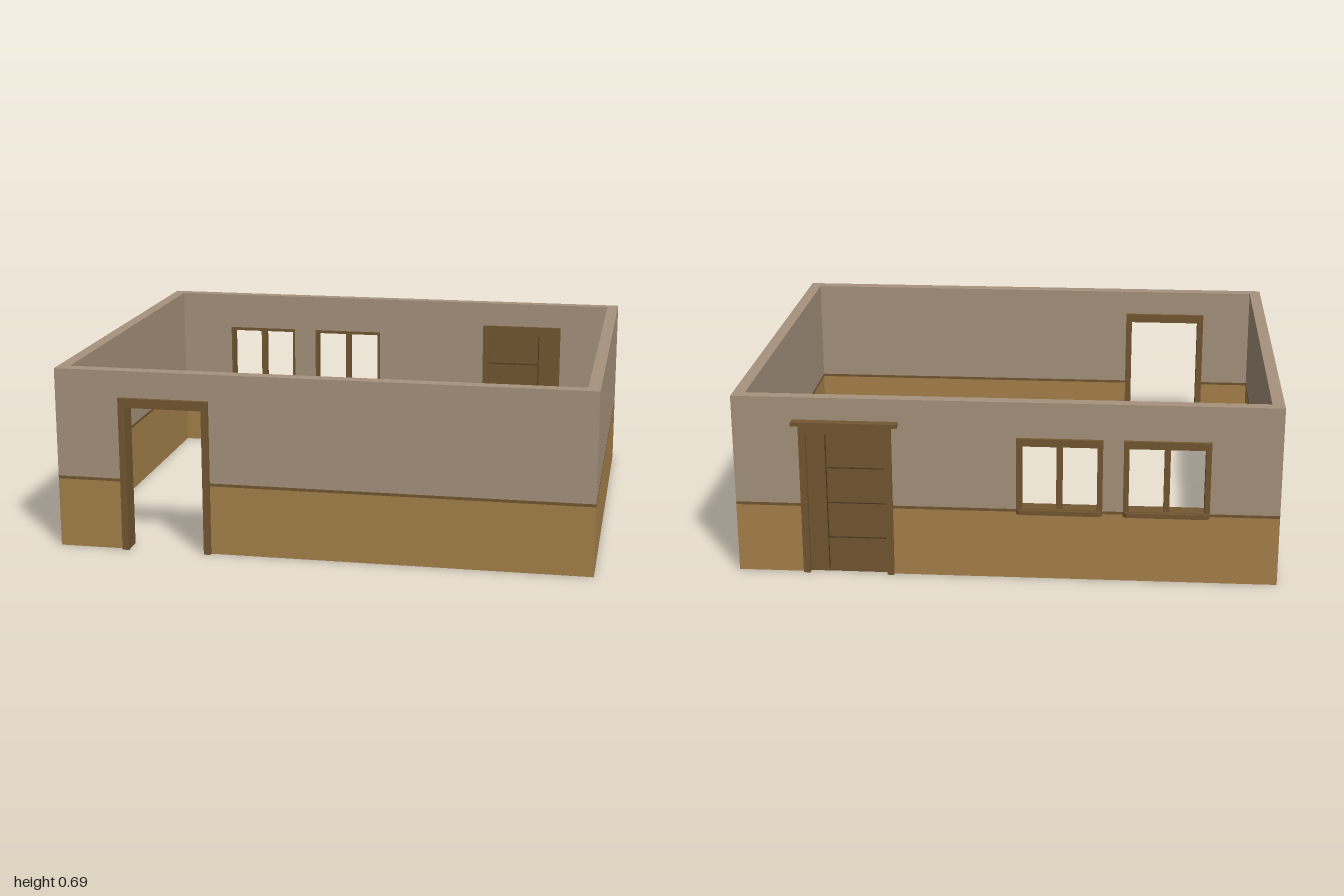
import * as THREE from 'three';

const H = 0.685, BAND0 = 0.262, BAND1 = 0.273;      // wall height and dado rail limits
const FRONT = [0.765, 0.815], BACK = [-0.795, -0.75]; // z ranges of the long walls
const DOOR_W = 0.34, DOOR_H = 0.585, POST = 0.025;
const FRONT_DOOR = -0.585, BACK_DOOR = 0.585;
const WINDOWS = [-0.5875, -0.1975];
const WIN_W = 0.295, WIN_TOP = 0.535;

function material(name, color) {
  const m = new THREE.MeshStandardMaterial({ color });
  m.name = name;
  return m;
}

export function createModel() {
  const model = new THREE.Group();
  model.name = 'room';
  const plaster = material('plaster', 0xa6937d);
  const ochre = material('ochre wainscot', 0xa6814a);
  const wood = material('brown wood', 0x735731);
  const groove = material('dark groove', 0x4a371d);

  function add(parent, name, geometry, mat) {
    const mesh = new THREE.Mesh(geometry, mat);
    mesh.name = name;
    parent.add(mesh);
    return mesh;
  }
  // box given by its limits on each axis
  function box(parent, name, [x0, x1], [y0, y1], [z0, z1], mat) {
    const mesh = add(parent, name, new THREE.BoxGeometry(x1 - x0, y1 - y0, z1 - z0), mat);
    mesh.position.set((x0 + x1) / 2, (y0 + y1) / 2, (z0 + z1) / 2);
    return mesh;
  }
  // outline in x and y, extruded between two z values
  function slab(parent, name, points, [z0, z1], mat, hole) {
    const shape = new THREE.Shape(points.map(p => new THREE.Vector2(...p)));
    if (hole) shape.holes.push(new THREE.Path(hole.map(p => new THREE.Vector2(...p))));
    const g = new THREE.ExtrudeGeometry(shape, { depth: z1 - z0, bevelEnabled: false });
    g.translate(0, 0, z0);
    return add(parent, name, g, mat);
  }
  const rect = (x0, x1, y0, y1) => [[x0, y0], [x1, y0], [x1, y1], [x0, y1]];

  // Lower walls: wainscot and dado rail, broken at the doorways
  const walls = new THREE.Group();
  walls.name = 'walls';
  model.add(walls);
  const half = DOOR_W / 2;
  const segments = [
    [[-1, FRONT_DOOR - half], FRONT], [[FRONT_DOOR + half, 1], FRONT],
    [[-1, BACK_DOOR - half], BACK], [[BACK_DOOR + half, 1], BACK],
    [[-1, -0.955], [BACK[1], FRONT[0]]], [[0.955, 1], [BACK[1], FRONT[0]]],
  ];
  const wainscot = [ochre, ochre, ochre, plaster, ochre, ochre];
  for (const [xs, zs] of segments) {
    box(walls, 'wainscot', xs, [0, BAND0], zs, wainscot);
    box(walls, 'dadoRail', xs, [BAND0, BAND1], zs, wood);
  }

  // Upper walls: long walls are notched for doors and windows
  function upperWall(name, zs, openings) {
    const pts = [[-1, H], [-1, BAND1]];
    for (const [x, w, top] of openings) {
      pts.push([x - w / 2, BAND1], [x - w / 2, top], [x + w / 2, top], [x + w / 2, BAND1]);
    }
    pts.push([1, BAND1], [1, H]);
    slab(walls, name, pts, zs, plaster);
  }
  upperWall('upperFrontWall', FRONT, [[FRONT_DOOR, DOOR_W, DOOR_H]]);
  upperWall('upperBackWall', BACK, [
    ...WINDOWS.map(x => [x, WIN_W, WIN_TOP]), [BACK_DOOR, DOOR_W, DOOR_H]]);
  for (const [xs, zs] of segments.slice(4)) box(walls, 'upperSideWall', xs, [BAND1, H], zs, plaster);

  // Door frames reach through the wall and stand proud of both faces
  function doorFrame(name, x, zs) {
    const o = half, i = half - POST, top = DOOR_H - 0.035;
    slab(model, name, [
      [x - o, 0], [x - i, 0], [x - i, top], [x + i, top],
      [x + i, 0], [x + o, 0], [x + o, DOOR_H], [x - o, DOOR_H],
    ], zs, wood);
  }
  doorFrame('frontDoorFrame', FRONT_DOOR, [0.75, 0.83]);
  doorFrame('backDoorFrame', BACK_DOOR, [-0.808, -0.74]);
  box(model, 'backDoorCrown', [0.39, 0.778], [DOOR_H, 0.6], [-0.83, -0.785], wood);

  // Back door leaf with grooves on both faces
  const door = new THREE.Group();
  door.name = 'backDoor';
  model.add(door);
  const left = BACK_DOOR - half + POST, right = BACK_DOOR + half - POST, stile = 0.66;
  box(door, 'doorLeaf', [left, right], [0, 0.55], [-0.785, -0.76], wood);
  for (const zs of [[-0.786, -0.785], [-0.76, -0.759]]) {
    box(door, 'stileGroove', [stile - 0.002, stile + 0.002], [0.01, 0.54], zs, groove);
    for (const y of [0.1375, 0.275, 0.4125]) {
      box(door, 'panelGroove', [left, stile - 0.002], [y - 0.002, y + 0.002], zs, groove);
    }
  }

  // Windows: lining, outer casing, centre post and chamfered sill
  for (const x of WINDOWS) {
    const win = new THREE.Group();
    win.name = 'window';
    win.position.x = x;
    model.add(win);
    const w = WIN_W / 2, inner = w - 0.01;
    const hole = rect(-inner, inner, 0.279, 0.522);
    slab(win, 'windowLining', rect(-w, w, BAND1, WIN_TOP), [-0.795, -0.749], wood, hole);
    slab(win, 'windowCasing', rect(-w - 0.01, w + 0.01, 0.26, 0.55), [-0.808, -0.795], wood, hole);
    box(win, 'centrePost', [-0.011, 0.011], [0.279, 0.522], [-0.8, -0.765], wood);
    const s = w + 0.01;
    const sill = slab(win, 'windowSill', [
      [-s, 0.795], [s, 0.795], [s, 0.81], [s - 0.012, 0.82], [-s + 0.012, 0.82], [-s, 0.81],
    ], [0.26, 0.277], wood);
    sill.rotation.x = -Math.PI / 2;
  }
  return model;
}
